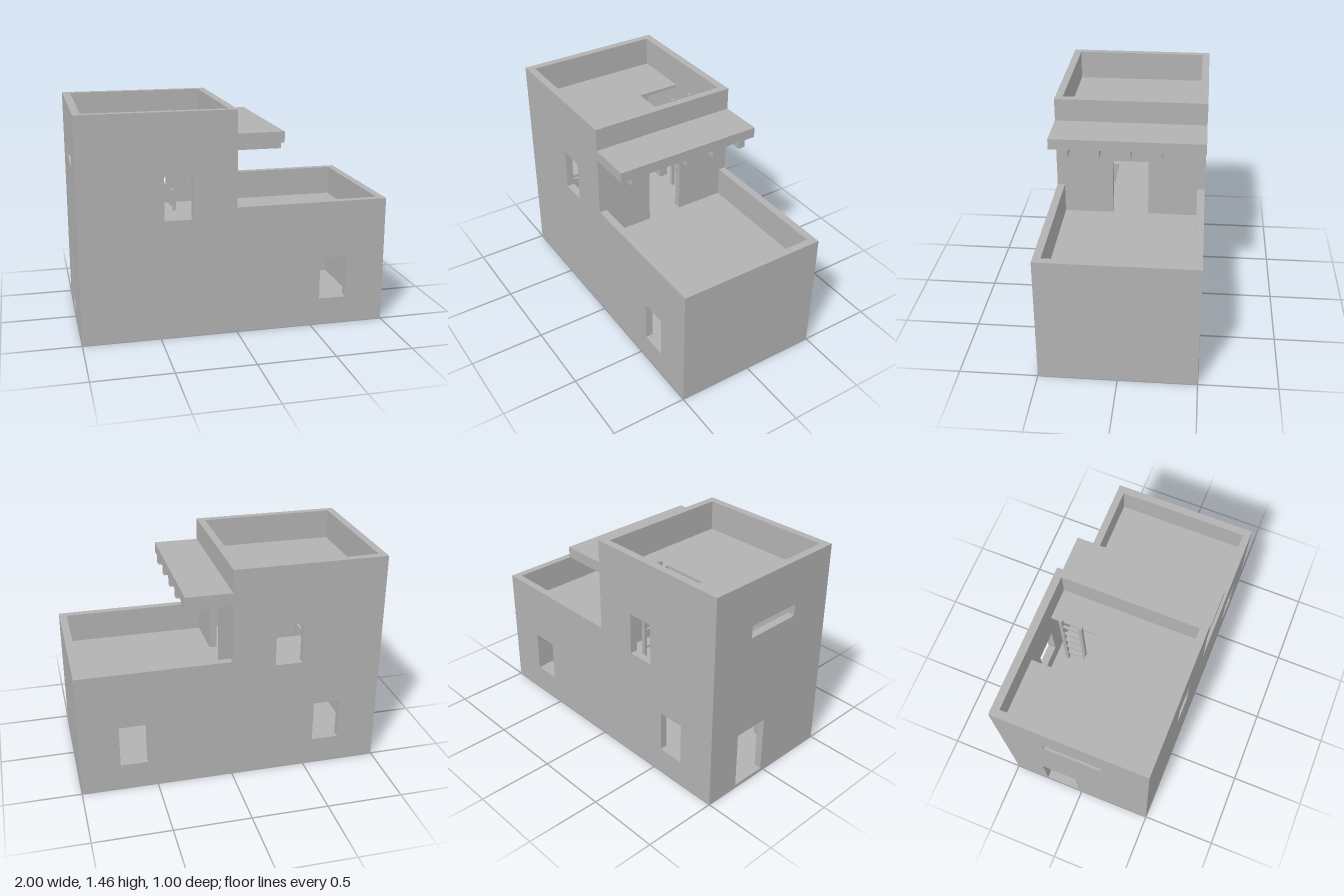
import * as THREE from 'three';

const T = 0.05; // wall thickness

export function createModel() {
  const house = new THREE.Group();
  house.name = 'house';
  const plaster = new THREE.MeshStandardMaterial({ color: 0xb2b2b2 });
  plaster.name = 'grey plaster';

  const add = (name, geometry, parent = house) => {
    const mesh = new THREE.Mesh(geometry, plaster);
    mesh.name = name;
    parent.add(mesh);
    return mesh;
  };
  // box given by its min and max on each axis
  const box = (name, x0, x1, y0, y1, z0, z1, parent) => {
    const g = new THREE.BoxGeometry(x1 - x0, y1 - y0, z1 - z0);
    g.translate((x0 + x1) / 2, (y0 + y1) / 2, (z0 + z1) / 2);
    return add(name, g, parent);
  };
  const rect = (x0, x1, y0, y1) => [[x0, y0], [x1, y0], [x1, y1], [x0, y1]];
  const toPoints = (list) => list.map(([x, y]) => new THREE.Vector2(x, y));
  // flat panel with rectangular openings
  const panel = (outline, holes, depth) => {
    const shape = new THREE.Shape(toPoints(outline));
    holes.forEach((h) => shape.holes.push(new THREE.Path(toPoints(rect(...h)))));
    return new THREE.ExtrudeGeometry(shape, { depth, bevelEnabled: false });
  };

  // stepped front and back walls with windows
  const stepped = [[-1, 0], [1, 0], [1, 0.84], [0, 0.84], [0, 1.46], [-1, 1.46]];
  const upperWindow = [-0.465, -0.285, 0.78, 1.06];
  const lowerWindow = [0.56, 0.74, 0.18, 0.46];
  const rearWindow = [-0.74, -0.56, 0.18, 0.46];
  add('frontWall', panel(stepped, [upperWindow, lowerWindow], T)).position.z = 0.5 - T;
  add('backWall', panel(stepped, [upperWindow, lowerWindow, rearWindow], T)).position.z = -0.5;

  // cross walls: the panel's horizontal axis is -z
  const W = 0.5 - T;
  const crossWall = (name, x, outline, holes) => {
    const mesh = add(name, panel(outline, holes, T).rotateY(Math.PI / 2));
    mesh.position.x = x;
  };
  const entrance = [0.025, 0.265, 0.02, 0.41];
  const slot = [-0.19, 0.19, 1.08, 1.16];
  crossWall('entranceWall', -1, rect(-W, W, 0, 1.46), [entrance, slot]);
  crossWall('farEndWall', 1 - T, rect(-W, W, 0, 0.84), []);
  crossWall('terraceWall', -T, [
    [-W, 0.64], [-0.12, 0.64], [-0.12, 1.03], [0.12, 1.03],
    [0.12, 0.64], [W, 0.64], [W, 1.46], [-W, 1.46],
  ], []);

  // floors, two of them notched for ladder hatches (panel's second axis is -z)
  const slab = (name, y, outline) => {
    const mesh = add(name, panel(outline, [], 0.02).rotateX(-Math.PI / 2));
    mesh.position.y = y;
  };
  slab('groundFloor', 0, rect(-0.95, 0.95, -W, W));
  slab('upperFloorAndTerrace', 0.62, [
    [-0.95, -W], [-0.75, -W], [-0.75, -0.15], [-0.45, -0.15],
    [-0.45, -W], [0.95, -W], [0.95, W], [-0.95, W],
  ]);
  slab('roof', 1.24, [
    [-0.95, -W], [-T, -W], [-T, W], [-0.25, W],
    [-0.25, 0.15], [-0.55, 0.15], [-0.55, W], [-0.95, W],
  ]);

  // awning over the terrace door, carried on beams
  box('awning', 0, 0.3, 1.24, 1.31, -0.5, 0.5);
  for (let i = -2; i <= 2; i++) {
    box('awningBeam', 0, 0.3, 1.19, 1.24, i * 0.2 - 0.025, i * 0.2 + 0.025);
  }

  // ladders poking through the hatches
  const ladder = (name, x, y, z) => {
    const group = new THREE.Group();
    group.name = name;
    group.position.set(x, y, z);
    for (const s of [-1, 1]) {
      box('ladderRail', -0.011, 0.011, 0, 0.69, s * 0.066 - 0.011, s * 0.066 + 0.011, group);
    }
    for (let i = 1; i <= 5; i++) {
      box('ladderRung', -0.008, 0.008, i * 0.12 - 0.008, i * 0.12 + 0.008, -0.055, 0.055, group);
    }
    house.add(group);
  };
  ladder('roofLadder', -0.27, 0.64, -0.305);
  ladder('groundLadder', -0.73, 0.02, 0.305);

  return house;
}
